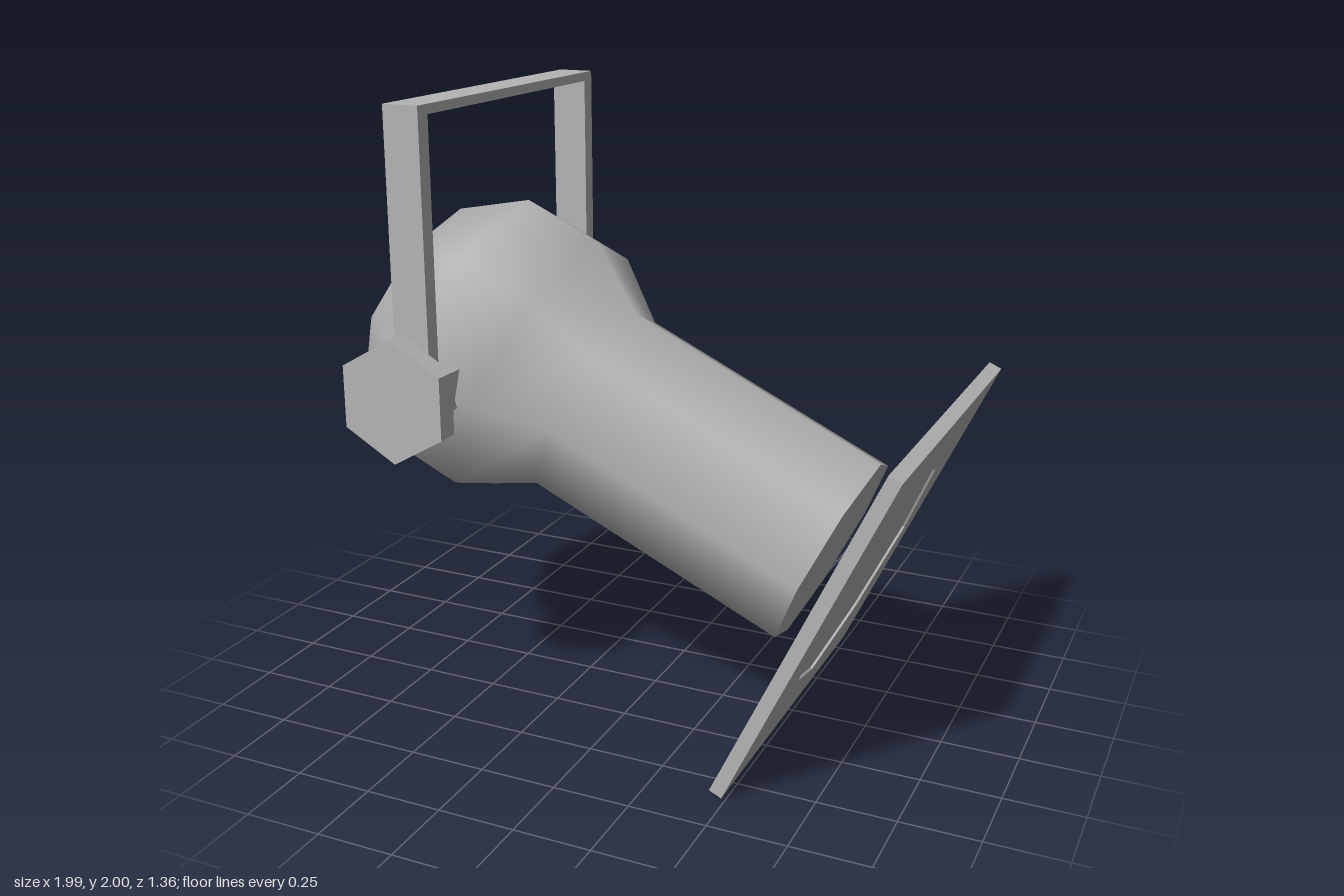
import * as THREE from 'three';

const grey = new THREE.MeshStandardMaterial({ color: 0xb4b4b4 });
grey.name = 'grey metal';

function add(parent, name, geometry, x = 0, y = 0, z = 0) {
  const mesh = new THREE.Mesh(geometry, grey);
  mesh.name = name;
  mesh.position.set(x, y, z);
  parent.add(mesh);
  return mesh;
}

// Faceted prism or frustum with hard edges
function prism(rTop, rBottom, height, sides) {
  const g = new THREE.CylinderGeometry(rTop, rBottom, height, sides).toNonIndexed();
  g.computeVertexNormals();
  return g;
}

function octagon(r) {
  return Array.from({ length: 8 }, (_, i) =>
    new THREE.Vector2(r * Math.cos(i * Math.PI / 4), r * Math.sin(i * Math.PI / 4)));
}

export function createModel() {
  const model = new THREE.Group();
  model.name = 'spotlight';

  // Lamp head: local +x is the beam direction, origin at the barrel mouth
  const head = new THREE.Group();
  head.name = 'lampHead';
  head.position.set(0.617, 0.6, 0);
  head.rotation.z = -THREE.MathUtils.degToRad(25);
  model.add(head);

  // Bulbous housing and barrel
  const profile = [[0, -1.66], [0.338, -1.622], [0.491, -1.408], [0.49, -1.132], [0.344, -0.918], [0.341, 0]]
    .map(([r, a]) => new THREE.Vector2(r, a));
  add(head, 'housing', new THREE.LatheGeometry(profile, 8).rotateZ(-Math.PI / 2));
  add(head, 'barrelMouth', new THREE.CircleGeometry(0.341, 8).rotateY(Math.PI / 2));

  // Square filter plate with a shallow octagonal recess in front
  add(head, 'filterPlate', new THREE.BoxGeometry(0.036, 1.192, 1.196), 0.107);
  const rim = new THREE.Shape([[-0.598, -0.596], [0.598, -0.596], [0.598, 0.596], [-0.598, 0.596]]
    .map(([x, y]) => new THREE.Vector2(x, y)));
  rim.holes.push(new THREE.Path(octagon(0.414)));
  add(head, 'filterRim', new THREE.ExtrudeGeometry(rim, { depth: 0.008, bevelEnabled: false })
    .rotateY(Math.PI / 2), 0.125);
  add(head, 'filterBack', prism(0.34, 0.34, 0.006, 8).rotateZ(-Math.PI / 2), 0.088);

  // U-shaped hanging yoke
  const yoke = new THREE.Shape([
    [-0.558, 1.06], [-0.505, 1.06], [-0.505, 1.97], [0.505, 1.97],
    [0.505, 1.06], [0.558, 1.06], [0.558, 2], [-0.558, 2],
  ].map(([z, y]) => new THREE.Vector2(z, y)));
  add(model, 'yoke', new THREE.ExtrudeGeometry(yoke, { depth: 0.12, bevelEnabled: false })
    .translate(0, 0, -0.06).rotateY(-Math.PI / 2), -0.56);

  // Pivot with hexagonal clamp knob on each side
  for (const side of ['front', 'back']) {
    const pivot = new THREE.Group();
    pivot.name = side + 'Pivot';
    pivot.position.set(-0.56, 1.13, 0);
    if (side === 'back') pivot.rotation.y = Math.PI;
    model.add(pivot);
    add(pivot, 'axle', prism(0.12, 0.12, 0.13, 6).rotateX(Math.PI / 2), 0, 0, 0.485);
    add(pivot, 'knobNeck', prism(0.195, 0.095, 0.06, 6).rotateX(Math.PI / 2), 0, 0, 0.575);
    add(pivot, 'knob', prism(0.195, 0.195, 0.073, 6).rotateX(Math.PI / 2), 0, 0, 0.6415);
  }
  return model;
}
